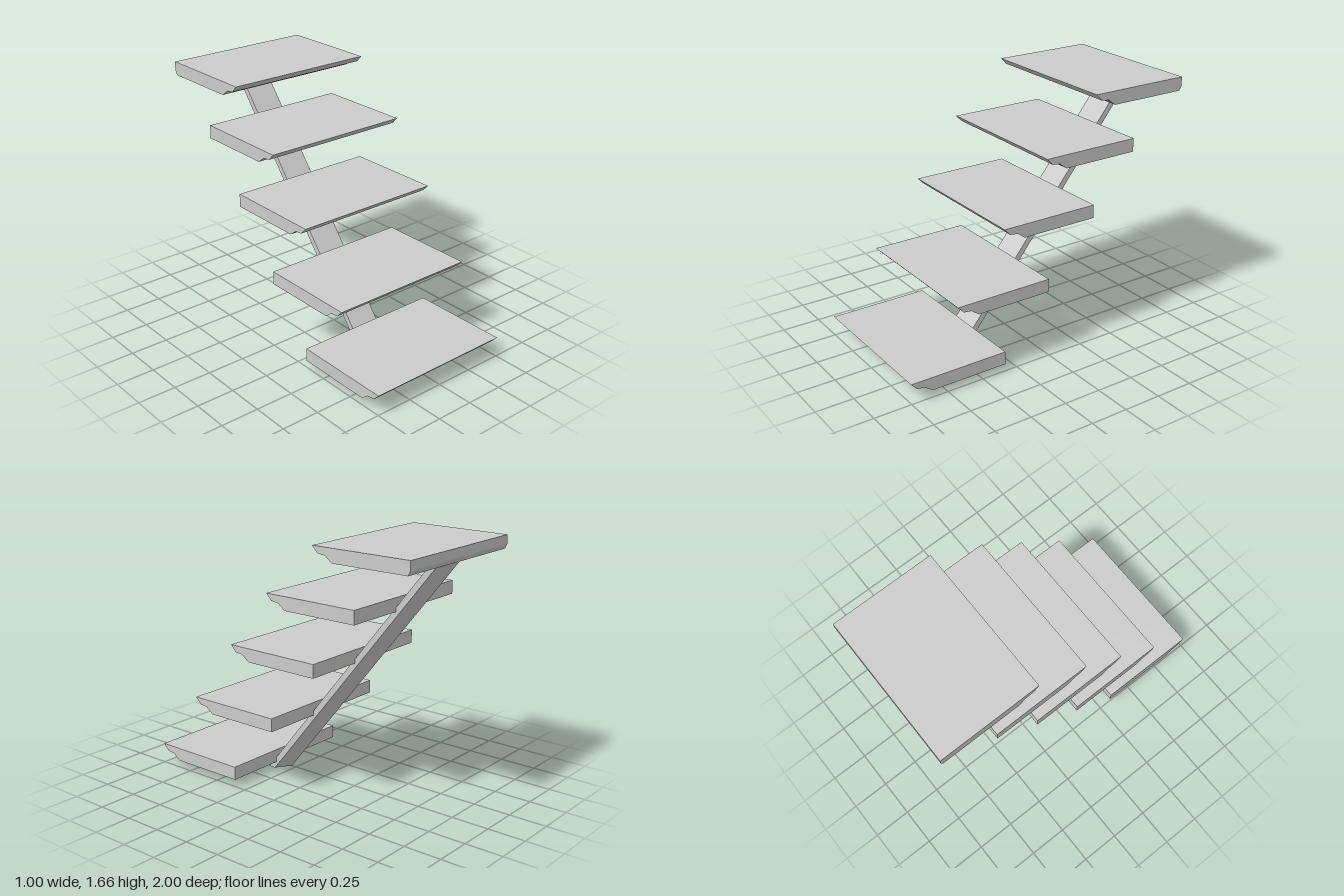
import * as THREE from 'three';

const grey = new THREE.MeshStandardMaterial({ color: 0xcccccc });

// Closed prism from a list of [a, b] points
function prism(points, depth) {
  const shape = new THREE.Shape(points.map(([a, b]) => new THREE.Vector2(a, b)));
  return new THREE.ExtrudeGeometry(shape, { depth, bevelEnabled: false });
}

// Tread: side profile in (z, y) with an undercut nose, extruded across x
function tread(front, back, bottom, top, slantedBack) {
  const profile = [
    [front, top],
    [front - 0.04, top - 0.042],
    [front - 0.095, top - 0.049],
    [front - 0.115, top - 0.065],
    [front - 0.145, bottom],
  ];
  if (slantedBack) profile.push([back + 0.015, bottom], [back, bottom + 0.03]);
  else profile.push([back, bottom]);
  profile.push([back, top]);
  const geometry = prism(profile, 1);
  geometry.rotateY(-Math.PI / 2);
  geometry.translate(0.5, 0, 0);
  return new THREE.Mesh(geometry, grey);
}

// Stringer: five-sided section with a ridge along the back, sheared to the stair pitch
function stringer() {
  const height = 1.572;
  const geometry = prism([[-0.1, -0.4], [0.1, -0.4], [0.1, -0.35], [0, -0.285], [-0.1, -0.35]], height);
  geometry.rotateX(-Math.PI / 2);
  geometry.applyMatrix4(new THREE.Matrix4().set(
    1, 0, 0, 0,
    0, 1, 0, 0,
    0, -0.809, 1, 0,
    0, 0, 0, 1,
  ));
  return new THREE.Mesh(geometry, grey);
}

export function createModel() {
  const model = new THREE.Group();
  model.name = 'openStaircase';

  const beam = stringer();
  beam.name = 'stringer';
  model.add(beam);

  // front z, back z, bottom y, top y
  const steps = [
    [1, 0.335, 0.047, 0.134],
    [0.67, 0.01, 0.452, 0.539],
    [0.34, -0.325, 0.866, 0.953],
    [0.037, -0.625, 1.24, 1.327],
    [-0.32, -1, 1.571, 1.658],
  ];
  steps.forEach(([front, back, bottom, top], i) => {
    const step = tread(front, back, bottom, top, i === steps.length - 1);
    step.name = `tread${i + 1}`;
    model.add(step);
  });
  return model;
}
